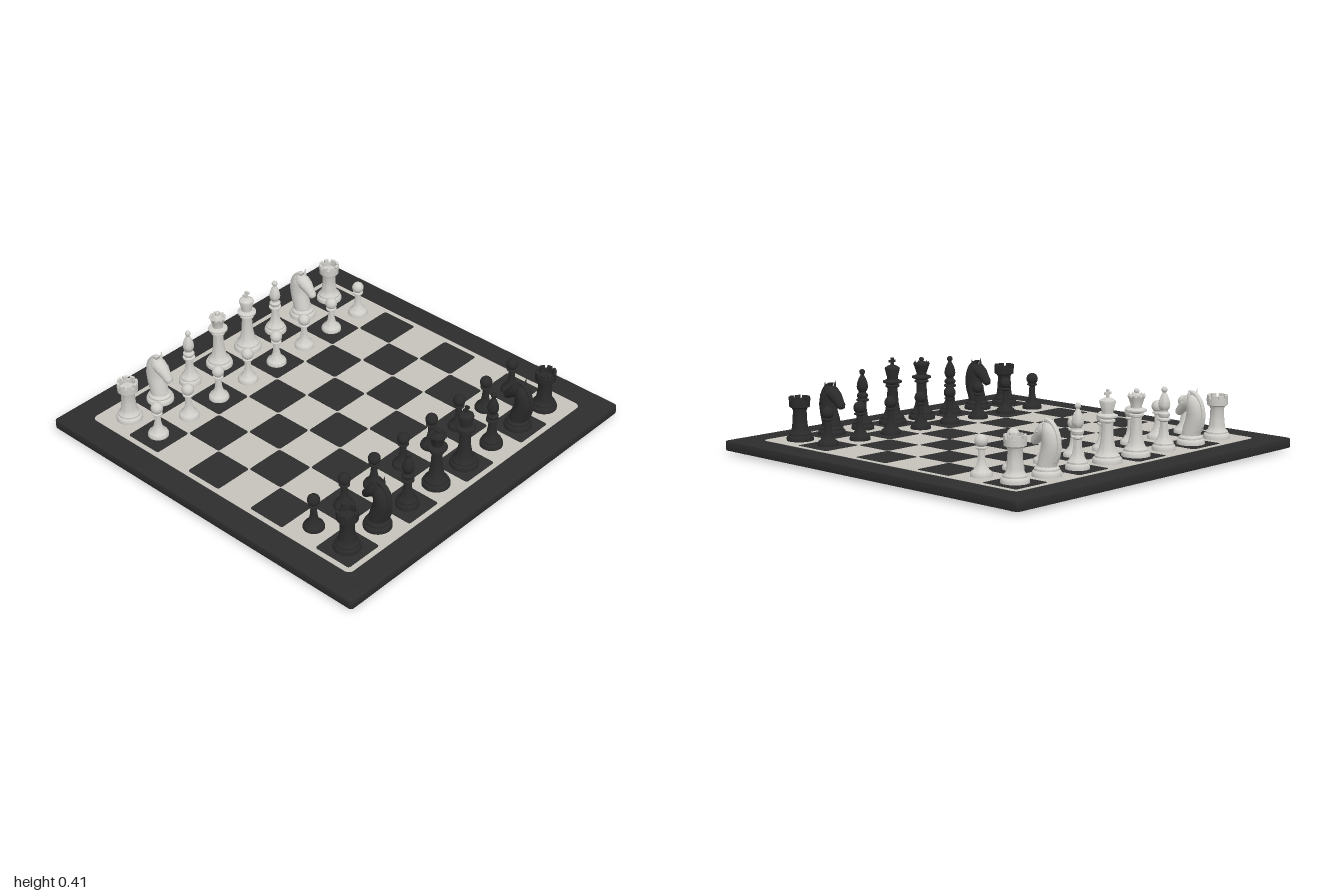
import * as THREE from 'three';
import { toCreasedNormals } from 'three/addons/utils/BufferGeometryUtils.js';

const frameMat = new THREE.MeshStandardMaterial({ name: 'frame black', color: 0x2d2d2d });
const panelMat = new THREE.MeshStandardMaterial({ name: 'board light grey', color: 0xc4c2bb });
const blackMat = new THREE.MeshStandardMaterial({ name: 'piece black', color: 0x2a2a2a });
const whiteMat = new THREE.MeshStandardMaterial({ name: 'piece white', color: 0xcfcec9 });

const PITCH = 0.2095, TOP = 0.065;

// Flat slab with rounded corners, lying from y = 0 up to y = h
function slab(size, radius, h, bevel = 0) {
  const a = size / 2 - bevel, r = radius, s = new THREE.Shape();
  s.moveTo(-a + r, -a);
  s.lineTo(a - r, -a).absarc(a - r, -a + r, r, -Math.PI / 2, 0);
  s.lineTo(a, a - r).absarc(a - r, a - r, r, 0, Math.PI / 2);
  s.lineTo(-a + r, a).absarc(-a + r, a - r, r, Math.PI / 2, Math.PI);
  s.lineTo(-a, -a + r).absarc(-a + r, -a + r, r, Math.PI, Math.PI * 1.5);
  const g = new THREE.ExtrudeGeometry(s, {
    depth: h - 2 * bevel, bevelEnabled: bevel > 0, bevelSize: bevel,
    bevelThickness: bevel, bevelSegments: 2, curveSegments: 4,
  });
  g.rotateX(-Math.PI / 2);
  return g.translate(0, bevel, 0);
}

// Turned profile of [radius, height] pairs
function turned(points) {
  const g = new THREE.LatheGeometry(points.map(([r, y]) => new THREE.Vector2(r, y)), 32);
  return toCreasedNormals(g, 0.7);
}

const ball = (r, y) => new THREE.SphereGeometry(r, 20, 14).translate(0, y, 0);

// Elliptical sections [z, y, inPlaneRadius, halfWidth] along a path in the YZ plane
function loft(sections, sides = 20) {
  const pos = [], idx = [], n = sections.length;
  sections.forEach(([z, y, r, w], i) => {
    const a = sections[Math.max(i - 1, 0)], b = sections[Math.min(i + 1, n - 1)];
    const len = Math.hypot(b[0] - a[0], b[1] - a[1]);
    const nz = (b[1] - a[1]) / len, ny = -(b[0] - a[0]) / len;
    for (let k = 0; k < sides; k++) {
      const t = (k / sides) * Math.PI * 2, c = Math.cos(t) * r;
      pos.push(Math.sin(t) * w, y + ny * c, z + nz * c);
      if (i < n - 1) {
        const p = i * sides + k, q = i * sides + (k + 1) % sides;
        idx.push(p, q, p + sides, q, q + sides, p + sides);
      }
    }
  });
  const g = new THREE.BufferGeometry();
  g.setAttribute('position', new THREE.Float32BufferAttribute(pos, 3));
  g.setIndex(idx);
  g.computeVertexNormals();
  return g;
}

// Stepped foot shared by the taller pieces
const foot = (r) => [[0, 0], [r, 0], [r, 0.014], [r * 0.94, 0.024], [r * 0.84, 0.028],
  [r * 0.84, 0.036], [r * 0.66, 0.048]];

function pawnParts() {
  return {
    body: turned([[0, 0], [0.052, 0], [0.052, 0.012], [0.046, 0.024], [0.038, 0.028], [0.034, 0.036],
      [0.023, 0.05], [0.017, 0.08], [0.015, 0.122], [0.027, 0.128], [0.027, 0.134], [0.014, 0.14]]),
    head: ball(0.031, 0.162),
  };
}

function rookParts() {
  const parts = {
    tower: turned([...foot(0.067), [0.04, 0.065], [0.036, 0.1], [0.034, 0.15], [0.039, 0.163],
      [0.052, 0.17], [0.053, 0.202], [0.039, 0.202], [0.039, 0.185], [0, 0.185]]),
  };
  const merlon = new THREE.Shape();
  merlon.absarc(0, 0, 0.053, 0, 0.52, false);
  merlon.absarc(0, 0, 0.039, 0.52, 0, true);
  for (let i = 0; i < 8; i++) {
    parts['merlon' + i] = new THREE.ExtrudeGeometry(merlon, { depth: 0.018, bevelEnabled: false, curveSegments: 4 })
      .rotateX(-Math.PI / 2).rotateY(i * Math.PI / 4).translate(0, 0.201, 0);
  }
  return parts;
}

function bishopParts() {
  return {
    body: turned([...foot(0.058), [0.026, 0.07], [0.02, 0.11], [0.019, 0.14], [0.032, 0.147], [0.032, 0.154],
      [0.023, 0.16], [0.029, 0.17], [0.029, 0.178], [0.019, 0.188], [0.019, 0.195]]),
    mitre: turned([[0.017, 0.193], [0.026, 0.205], [0.029, 0.22], [0.026, 0.24], [0.018, 0.262],
      [0.009, 0.278], [0.008, 0.284]]),
    finial: ball(0.015, 0.295),
  };
}

function queenParts() {
  const parts = {
    body: turned([...foot(0.07), [0.037, 0.07], [0.03, 0.11], [0.026, 0.17], [0.026, 0.19], [0.036, 0.195],
      [0.036, 0.203], [0.029, 0.208], [0.05, 0.218], [0.05, 0.226], [0.027, 0.234], [0.027, 0.245],
      [0.035, 0.27], [0.043, 0.293], [0.034, 0.293], [0.03, 0.287], [0.02, 0.303], [0, 0.31]]),
    finial: ball(0.013, 0.314),
  };
  for (let i = 0; i < 10; i++) {
    parts['crownPoint' + i] = new THREE.ConeGeometry(0.009, 0.018, 6)
      .translate(0.037, 0.297, 0).rotateY(i * Math.PI / 5);
  }
  return parts;
}

function kingParts() {
  return {
    body: turned([...foot(0.072), [0.039, 0.07], [0.031, 0.11], [0.027, 0.17], [0.027, 0.19], [0.037, 0.195],
      [0.037, 0.203], [0.029, 0.208], [0.049, 0.217], [0.049, 0.225], [0.028, 0.234], [0.028, 0.245],
      [0.039, 0.288], [0.037, 0.295], [0.022, 0.304], [0.009, 0.309], [0, 0.31]]),
    crossPost: new THREE.BoxGeometry(0.013, 0.042, 0.011).translate(0, 0.325, 0),
    crossBar: new THREE.BoxGeometry(0.04, 0.012, 0.011).translate(0, 0.328, 0),
  };
}

function knightParts() {
  const parts = {
    base: turned([...foot(0.07), [0.046, 0.056], [0, 0.058]]),
    neck: loft([[0, 0.04, 0.046, 0.048], [-0.008, 0.075, 0.046, 0.046], [-0.022, 0.115, 0.047, 0.043],
      [-0.029, 0.155, 0.047, 0.042], [-0.022, 0.195, 0.044, 0.042], [-0.01, 0.225, 0.034, 0.036],
      [-0.004, 0.242, 0.018, 0.02], [-0.002, 0.247, 0, 0]]),
    head: loft([[-0.03, 0.232, 0, 0], [-0.022, 0.228, 0.02, 0.025], [0.004, 0.216, 0.034, 0.038],
      [0.033, 0.195, 0.032, 0.034], [0.056, 0.172, 0.024, 0.026], [0.073, 0.153, 0.021, 0.023],
      [0.081, 0.143, 0.014, 0.016], [0.083, 0.14, 0, 0]]),
  };
  // Mane ridge down the back of the neck
  const m = new THREE.Shape();
  m.moveTo(0.005, 0.262);
  m.bezierCurveTo(-0.06, 0.26, -0.105, 0.16, -0.06, 0.07);
  m.lineTo(-0.02, 0.07);
  m.lineTo(-0.02, 0.22);
  parts.mane = new THREE.ExtrudeGeometry(m, { depth: 0.014, bevelEnabled: true, bevelSize: 0.004,
    bevelThickness: 0.005, bevelSegments: 2, curveSegments: 12 }).translate(0, 0, -0.007).rotateY(-Math.PI / 2);
  for (const s of [-1, 1]) {
    parts[s > 0 ? 'leftEar' : 'rightEar'] = new THREE.ConeGeometry(0.014, 0.06, 10)
      .rotateZ(-s * 0.18).translate(s * 0.03, 0.243, -0.008);
    parts[s > 0 ? 'leftEye' : 'rightEye'] = new THREE.SphereGeometry(0.007, 10, 8)
      .translate(s * 0.031, 0.203, 0.032);
  }
  return parts;
}

export function createModel() {
  const model = new THREE.Group();
  const add = (parent, name, geometry, material) => {
    const mesh = new THREE.Mesh(geometry, material);
    mesh.name = name;
    parent.add(mesh);
    return mesh;
  };

  // Board, playing surface and feet
  add(model, 'boardFrame', toCreasedNormals(slab(2, 0.012, 0.05, 0.008), 0.5), frameMat).position.y = 0.014;
  add(model, 'lightPanel', slab(1.73, 0.03, 0.004), panelMat).position.y = 0.0615;
  for (const x of [-0.915, 0.915]) for (const z of [-0.915, 0.915]) {
    add(model, 'boardFoot', new THREE.CylinderGeometry(0.036, 0.036, 0.016, 24), frameMat).position.set(x, 0.008, z);
  }

  // Dark squares
  const square = slab(0.208, 0.012, 0.003);
  const at = (i) => (i - 3.5) * PITCH;
  for (let i = 0; i < 8; i++) for (let j = 0; j < 8; j++) {
    if ((i + j) % 2) add(model, 'darkSquare', square, frameMat).position.set(at(i), 0.0637, at(j));
  }

  // Pieces: white at the back, black at the front, facing each other
  const kinds = { rook: rookParts(), knight: knightParts(), bishop: bishopParts(),
    queen: queenParts(), king: kingParts(), pawn: pawnParts() };
  const order = ['rook', 'knight', 'bishop', 'queen', 'king', 'bishop', 'knight', 'rook'];
  const place = (kind, col, row, white) => {
    const piece = new THREE.Group();
    piece.name = (white ? 'white ' : 'black ') + kind;
    for (const [name, g] of Object.entries(kinds[kind])) add(piece, name, g, white ? whiteMat : blackMat);
    piece.position.set(at(col), TOP, at(row));
    if (!white) piece.rotation.y = Math.PI;
    model.add(piece);
  };
  order.forEach((kind, col) => {
    place(kind, col, 0, true);
    place('pawn', col, 1, true);
    place('pawn', col, 6, false);
    place(kind, col, 7, false);
  });
  return model;
}
